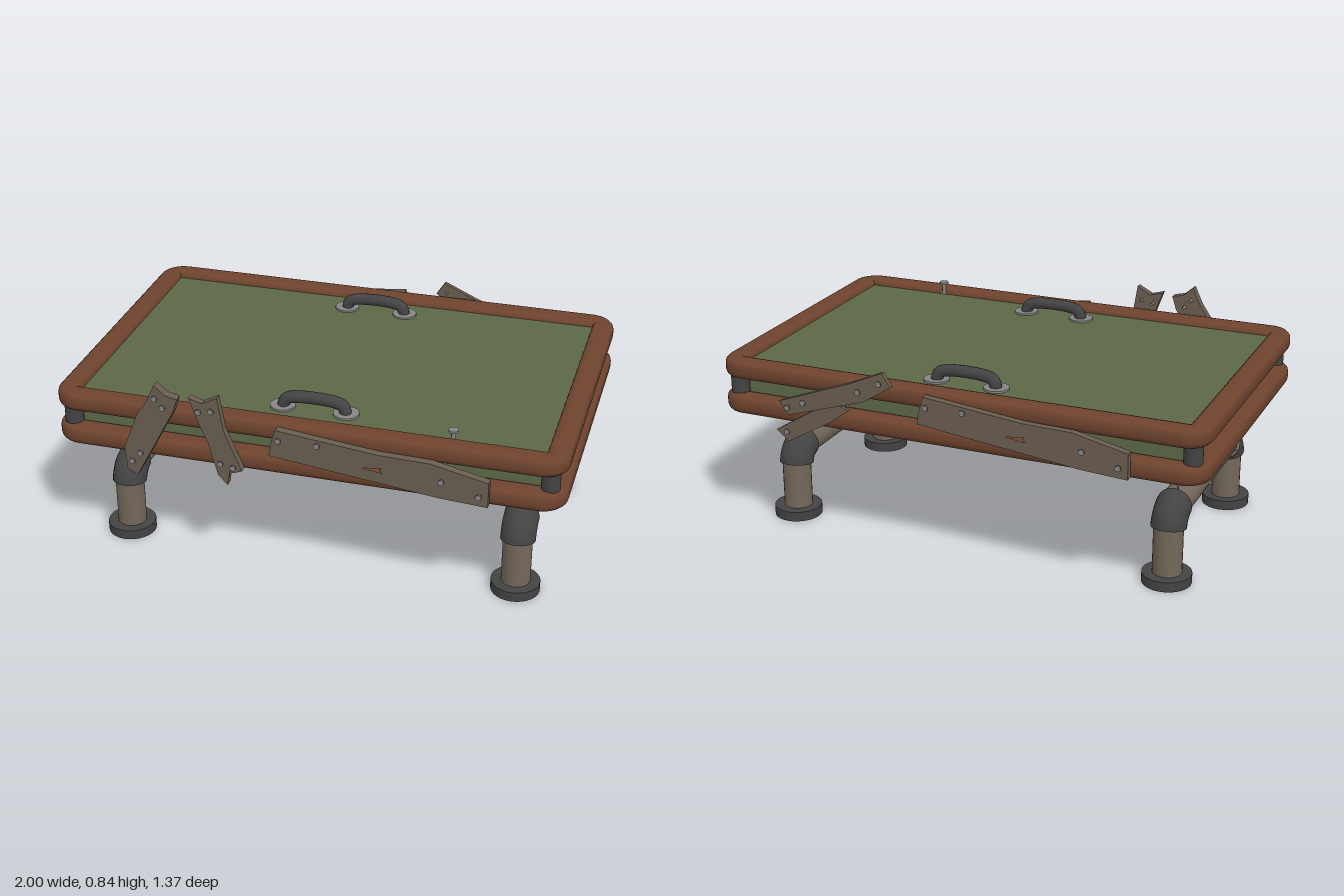
import * as THREE from 'three';
import { toCreasedNormals } from 'three/addons/utils/BufferGeometryUtils.js';

const material = (name, color) => {
  const m = new THREE.MeshStandardMaterial({ color });
  m.name = name;
  return m;
};

export function createModel() {
  const wood = material('red brown wood', 0x6e432e);
  const felt = material('green felt', 0x5c6847);
  const pipe = material('brown pipe', 0x73675a);
  const iron = material('dark iron', 0x434343);
  const steel = material('grey steel', 0x858585);
  const board = material('weathered board', 0x695d50);

  const root = new THREE.Group();
  root.name = 'table';

  function add(parent, name, geometry, mat, x = 0, y = 0, z = 0) {
    const mesh = new THREE.Mesh(geometry, mat);
    mesh.name = name;
    mesh.position.set(x, y, z);
    parent.add(mesh);
    return mesh;
  }
  // Upright cylinder from y0 to y1
  const post = (parent, name, mat, r, x, y0, y1, z, sides = 24) =>
    add(parent, name, new THREE.CylinderGeometry(r, r, y1 - y0, sides), mat, x, (y0 + y1) / 2, z);

  // Rounded rectangular frame with a square opening
  const W = 1, D = 0.635, R = 0.1;
  const outline = new THREE.Shape();
  outline.moveTo(-W + R, -D);
  outline.lineTo(W - R, -D);
  outline.absarc(W - R, -D + R, R, -Math.PI / 2, 0);
  outline.lineTo(W, D - R);
  outline.absarc(W - R, D - R, R, 0, Math.PI / 2);
  outline.lineTo(-W + R, D);
  outline.absarc(-W + R, D - R, R, Math.PI / 2, Math.PI);
  outline.lineTo(-W, -D + R);
  outline.absarc(-W + R, -D + R, R, Math.PI, Math.PI * 1.5);
  const opening = new THREE.Path();
  opening.moveTo(-0.91, -0.545);
  opening.lineTo(-0.91, 0.545);
  opening.lineTo(0.91, 0.545);
  opening.lineTo(0.91, -0.545);
  opening.closePath();
  outline.holes.push(opening);
  const bevel = 0.025;
  const frameGeometry = toCreasedNormals(new THREE.ExtrudeGeometry(outline, {
    depth: 0.075 - 2 * bevel, bevelEnabled: true, bevelSize: bevel, bevelThickness: bevel,
    bevelOffset: -bevel, bevelSegments: 3, curveSegments: 5,
  }).rotateX(-Math.PI / 2), 0.7);
  add(root, 'lowerFrame', frameGeometry, wood, 0, 0.505 + bevel, 0);
  add(root, 'upperFrame', frameGeometry, wood, 0, 0.65 + bevel, 0);
  add(root, 'tableBody', new THREE.BoxGeometry(1.825, 0.145, 1.095), felt, 0, 0.6275, 0);

  // Corner spacers between the frames
  for (const x of [-1, 1]) for (const z of [-1, 1])
    post(root, 'cornerSpacer', iron, 0.036, x * 0.935, 0.56, 0.67, z * 0.567);

  // Pipe base, one trestle at each end
  const elbowGeometry = new THREE.TorusGeometry(0.078, 0.069, 20, 14, THREE.MathUtils.degToRad(74));
  elbowGeometry.rotateZ(THREE.MathUtils.degToRad(8));
  elbowGeometry.rotateY(-Math.PI / 2);
  const collarGeometry = new THREE.CircleGeometry(0.069, 20);
  for (const side of [-1, 1]) {
    const trestle = new THREE.Group();
    trestle.name = side > 0 ? 'leftTrestle' : 'rightTrestle';
    trestle.position.x = side * 0.8;
    root.add(trestle);
    const rail = add(trestle, 'footRail',
      new THREE.CylinderGeometry(0.059, 0.059, 0.66, 24), pipe, 0, 0.294, 0);
    rail.rotation.x = Math.PI / 2;
    for (const end of [0, 1]) {
      const leg = new THREE.Group();
      leg.name = end ? 'backLeg' : 'frontLeg';
      leg.rotation.y = end * Math.PI;
      trestle.add(leg);
      post(leg, 'legPipe', pipe, 0.058, 0, 0.03, 0.25, 0.395);
      post(leg, 'footFlange', iron, 0.097, 0, 0, 0.04, 0.397, 28);
      add(leg, 'elbow', elbowGeometry, iron, 0, 0.216, 0.317);
      // Flat ends of the elbow
      for (const [deg, flip] of [[8, 1], [82, -1]]) {
        const a = THREE.MathUtils.degToRad(deg);
        const cap = add(leg, 'elbowEnd', collarGeometry, iron,
          0, 0.216 + 0.078 * Math.sin(a), 0.317 + 0.078 * Math.cos(a));
        cap.lookAt(new THREE.Vector3(0, -flip * Math.cos(a), flip * Math.sin(a)).add(cap.position));
      }
    }
    post(trestle, 'riserPipe', pipe, 0.05, 0, 0.3, 0.57, 0);
    post(trestle, 'teeJoint', iron, 0.066, 0, 0.383, 0.508, 0);
    const stub = add(trestle, 'teeBranch',
      new THREE.CylinderGeometry(0.063, 0.063, 0.14, 24), iron, -side * 0.07, 0.448, 0);
    stub.rotation.z = Math.PI / 2;
  }
  const beam = add(root, 'crossPipe',
    new THREE.CylinderGeometry(0.052, 0.052, 1.5, 24), pipe, 0, 0.453, 0);
  beam.rotation.z = Math.PI / 2;
  post(root, 'middleSupport', pipe, 0.046, -0.05, 0.453, 0.57, 0);

  // Pull handles with round mounting plates
  const handlePath = new THREE.CatmullRomCurve3([
    [-0.122, 0.695], [-0.12, 0.72], [-0.1, 0.741], [0.1, 0.741], [0.12, 0.72], [0.122, 0.695],
  ].map(([x, y]) => new THREE.Vector3(x, y, 0)), false, 'centripetal');
  const handleGeometry = new THREE.TubeGeometry(handlePath, 40, 0.024, 12);
  for (const z of [-0.45, 0.45]) {
    add(root, 'handle', handleGeometry, iron, 0.005, 0, z);
    for (const x of [-0.12, 0.13]) post(root, 'handlePlate', steel, 0.05, x, 0.695, 0.708, z);
  }
  // Loose nail on the table top
  post(root, 'topNailShaft', steel, 0.009, 0.565, 0.69, 0.75, 0.548, 8);
  post(root, 'topNailHead', steel, 0.02, 0.565, 0.747, 0.756, 0.548, 10);

  // Broken boards nailed to the long sides
  function addBoard(parent, name, points, z0, z1, nails, nailBack, crack) {
    const shape = new THREE.Shape(points.map(p => new THREE.Vector2(...p)));
    if (crack) shape.holes.push(new THREE.Path(crack.map(p => new THREE.Vector2(...p))));
    const geometry = new THREE.ExtrudeGeometry(shape, { depth: z1 - z0, bevelEnabled: false });
    add(parent, name, geometry, board, 0, 0, z0);
    for (const [x, y] of nails) {
      const length = z1 + 0.012 - nailBack;
      const shaft = add(parent, 'nailShaft', new THREE.CylinderGeometry(0.006, 0.006, length, 6),
        steel, x, y, nailBack + length / 2);
      const head = add(parent, 'nailHead', new THREE.CylinderGeometry(0.012, 0.012, 0.007, 8),
        steel, x, y, z1 + 0.01);
      shaft.rotation.x = head.rotation.x = Math.PI / 2;
    }
  }
  const longBoard = [[-0.083, 0.714], [0.313, 0.671], [0.51, 0.666], [0.725, 0.618],
    [0.725, 0.516], [0.54, 0.527], [0.22, 0.564], [-0.11, 0.602], [-0.1, 0.66]];
  const crack = [[0.25, 0.608], [0.325, 0.617], [0.315, 0.606], [0.33, 0.597]];
  const longNails = [[-0.07, 0.675], [0.08, 0.677], [0.55, 0.6], [0.69, 0.56]];

  const front = new THREE.Group();
  front.name = 'frontBoards';
  const back = new THREE.Group();
  back.name = 'backBoards';
  back.rotation.y = Math.PI;
  root.add(front, back);

  addBoard(front, 'longBoard', longBoard, 0.633, 0.665, longNails, 0.61, crack);
  addBoard(front, 'leaningBoard', [[-0.553, 0.837], [-0.51, 0.8], [-0.463, 0.789], [-0.48, 0.735],
    [-0.595, 0.52], [-0.64, 0.436], [-0.68, 0.457], [-0.687, 0.553], [-0.628, 0.703],
    [-0.585, 0.767]], 0.635, 0.671, [[-0.55, 0.785], [-0.52, 0.75], [-0.62, 0.54], [-0.655, 0.5]], 0.6);
  addBoard(front, 'shortBoard', [[-0.42, 0.8], [-0.366, 0.784], [-0.307, 0.816], [-0.286, 0.682],
    [-0.217, 0.516], [-0.255, 0.502], [-0.266, 0.51], [-0.276, 0.447], [-0.313, 0.484],
    [-0.35, 0.623], [-0.377, 0.682]], 0.635, 0.665,
    [[-0.38, 0.75], [-0.33, 0.76], [-0.3, 0.54], [-0.25, 0.53]], 0.61);

  addBoard(back, 'longBoard', longBoard, 0.64, 0.67, longNails, 0.61, crack);
  addBoard(back, 'slantedBoard', [[-0.71, 0.6], [-0.4, 0.715], [-0.26, 0.778], [-0.225, 0.725],
    [-0.34, 0.65], [-0.67, 0.547]], 0.636, 0.656,
    [[-0.27, 0.735], [-0.36, 0.69], [-0.6, 0.61], [-0.67, 0.58]], 0.62);
  addBoard(back, 'lowBoard', [[-0.73, 0.475], [-0.48, 0.63], [-0.41, 0.6], [-0.5, 0.535],
    [-0.68, 0.432]], 0.634, 0.648, [[-0.68, 0.475]], 0.62);
  return root;
}
